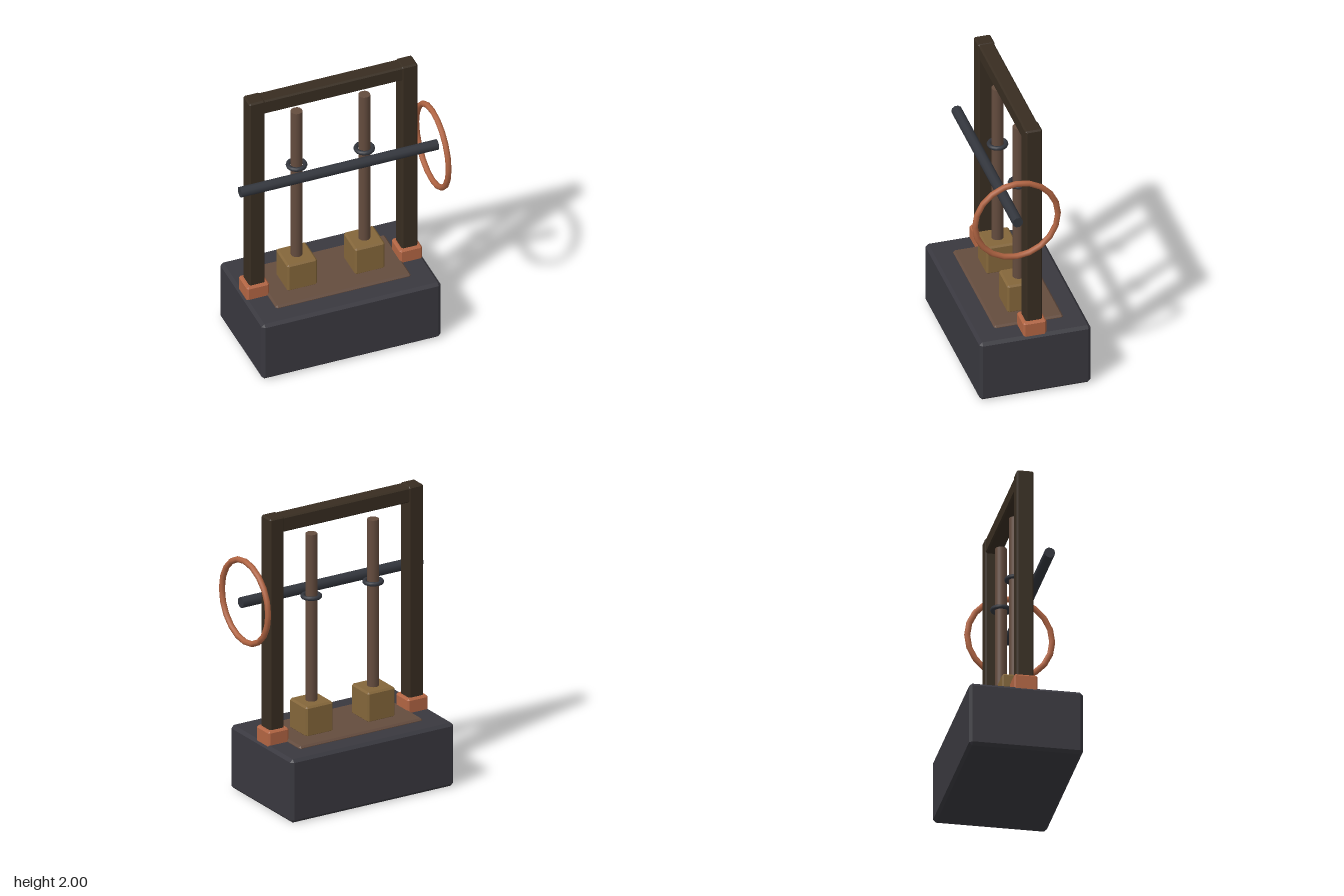
import * as THREE from 'three';
import { ConvexGeometry } from 'three/addons/geometries/ConvexGeometry.js';

const paint = (name, color) => {
  const m = new THREE.MeshStandardMaterial({ color });
  m.name = name;
  return m;
};

// box with every edge cut by a flat chamfer c
function chamferBox(w, h, d, c) {
  const points = [];
  for (const x of [-1, 1]) for (const y of [-1, 1]) for (const z of [-1, 1]) {
    for (let axis = 0; axis < 3; axis++) {
      const inset = [c, c, c];
      inset[axis] = 0;
      points.push(new THREE.Vector3(
        x * (w / 2 - inset[0]), y * (h / 2 - inset[1]), z * (d / 2 - inset[2])));
    }
  }
  return new ConvexGeometry(points);
}

export function createModel() {
  const group = new THREE.Group();
  const iron = paint('dark iron', 0x39383f);
  const steel = paint('blue steel', 0x33363d);
  const timber = paint('dark timber', 0x382d21);
  const bronze = paint('brown bronze', 0x644c3e);
  const brass = paint('aged brass', 0x84663a);
  const copper = paint('copper', 0xb26543);
  const Z = -0.035; // depth of the frame plane

  const add = (name, geometry, material, x, y, z = Z) => {
    const mesh = new THREE.Mesh(geometry, material);
    mesh.name = name;
    mesh.position.set(x, y, z);
    group.add(mesh);
    return mesh;
  };

  // base and bed plate
  add('base', chamferBox(1.245, 0.44, 0.75, 0.02), iron, 0, 0.22);
  add('bedPlate', chamferBox(0.94, 0.03, 0.465, 0.012), bronze, 0, 0.441);

  // frame
  add('topBeam', chamferBox(1.08, 0.106, 0.104, 0.01), timber, 0, 1.943);
  for (const [side, s] of [['left', 1], ['right', -1]]) {
    add(side + 'Post', chamferBox(0.11, 1.56, 0.112, 0.01), timber, s * 0.531, 1.22);
    add(side + 'PostFoot', chamferBox(0.156, 0.115, 0.156, 0.012), copper, s * 0.532, 0.478);

    // upright rod in its block, with a ring collar
    add(side + 'RodBlock', chamferBox(0.208, 0.21, 0.208, 0.012), brass, s * 0.236, 0.553);
    add(side + 'Rod', new THREE.CylinderGeometry(0.039, 0.039, 1.2, 12), bronze, s * 0.236, 1.215);
    add(side + 'Collar', new THREE.TorusGeometry(0.056, 0.015, 8, 16).rotateX(Math.PI / 2),
      steel, s * 0.236, 1.38);
  }

  // cross shaft and hand wheel
  add('shaft', new THREE.CylinderGeometry(0.036, 0.036, 1.374, 10).rotateZ(Math.PI / 2),
    steel, 0, 1.38, 0.105);
  add('handWheel', new THREE.TorusGeometry(0.28, 0.02, 8, 20).rotateY(Math.PI / 2),
    copper, 0.654, 1.38, 0.105);

  return group;
}
